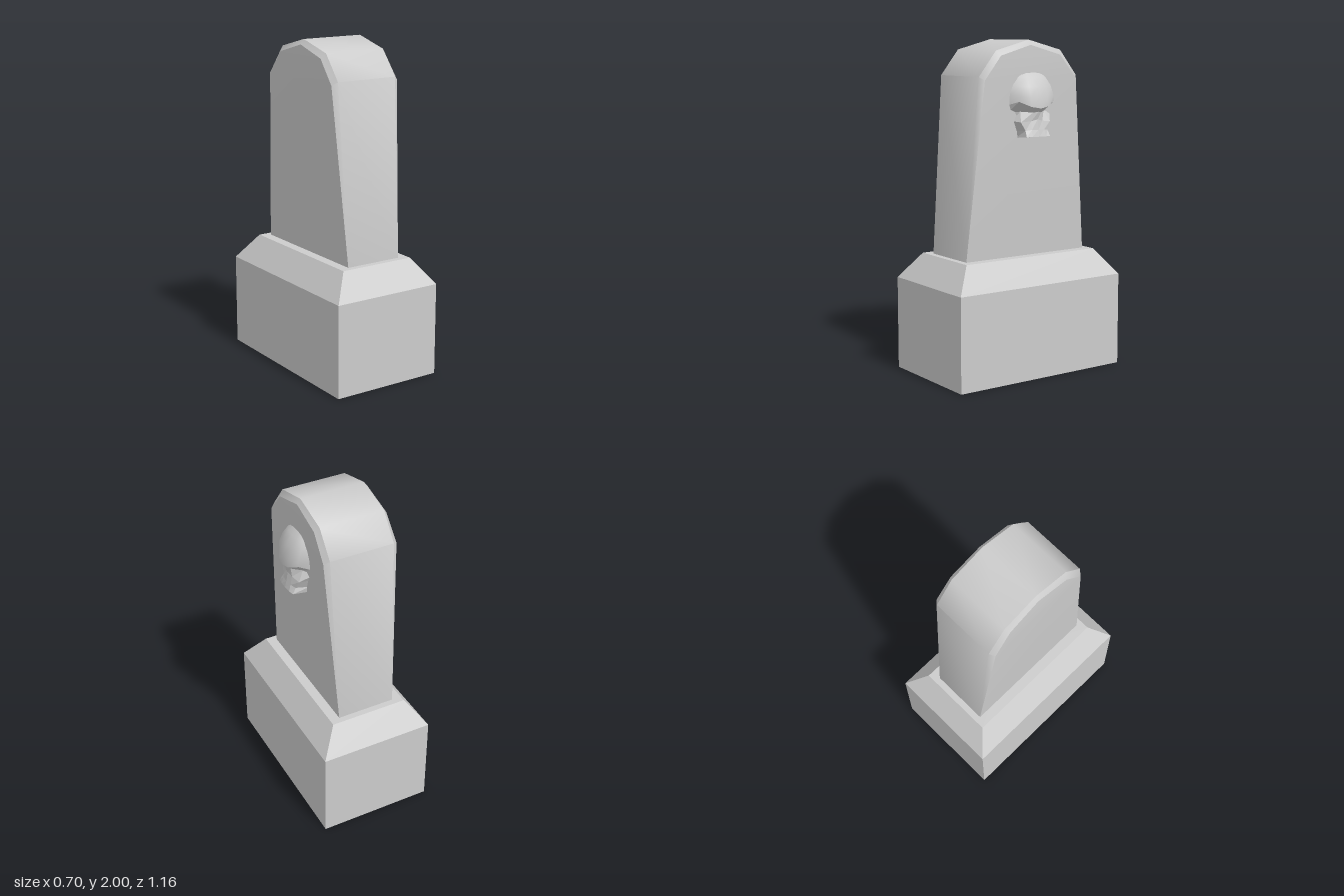
import * as THREE from 'three';
import { toCreasedNormals } from 'three/addons/utils/BufferGeometryUtils.js';

// Skin a grid of [x, y, z] points: rows run top to bottom, columns left to right
function skin(rows, crease) {
  const pos = [];
  const tri = (a, b, c) => {
    const [A, B, C] = [a, b, c].map((p) => new THREE.Vector3(...p));
    if (new THREE.Triangle(A, B, C).getArea() > 1e-7) pos.push(...a, ...b, ...c);
  };
  for (let r = 0; r < rows.length - 1; r++) {
    for (let c = 0; c < rows[r].length - 1; c++) {
      tri(rows[r][c], rows[r + 1][c], rows[r][c + 1]);
      tri(rows[r][c + 1], rows[r + 1][c], rows[r + 1][c + 1]);
    }
  }
  const g = new THREE.BufferGeometry();
  g.setAttribute('position', new THREE.Float32BufferAttribute(pos, 3));
  g.computeVertexNormals();
  return toCreasedNormals(g, crease);
}

export function createModel() {
  const model = new THREE.Group();
  const material = new THREE.MeshStandardMaterial({ color: 0xcccccc, side: THREE.DoubleSide });
  const add = (parent, name, geometry) => {
    const mesh = new THREE.Mesh(geometry, material);
    mesh.name = name;
    parent.add(mesh);
  };

  // Plinth: hollow block with a sloping shoulder, open underneath
  const ring = (x, z, y) => [[-x, y, z], [x, y, z], [x, y, -z], [-x, y, -z], [-x, y, z]];
  add(model, 'plinth', skin([
    ring(0, 0, 0.72), ring(0.24, 0.468, 0.72), ring(0.352, 0.582, 0.565), ring(0.352, 0.582, 0),
  ], 0.1));

  // Headstone: half profiles [x, y, z] from foot to crown, mirrored in z
  const rim = [[0.18, 0.72, 0.43], [0.2, 1.79, 0.352], [0.2, 1.94, 0.232], [0.2, 2, 0]];
  const face = [[0.18, 0.72, 0.43], [0.23, 1.77, 0.33], [0.226, 1.91, 0.215], [0.222, 1.97, 0]];
  const arch = (half, side) => [
    ...half.map(([x, y, z]) => [side * x, y, z]),
    ...half.slice(0, -1).reverse().map(([x, y, z]) => [side * x, y, -z]),
  ];
  const stone = new THREE.Group();
  stone.name = 'headstone';
  model.add(stone);
  add(stone, 'rim', skin([arch(face, -1), arch(rim, -1), arch(rim, 1), arch(face, 1)], 0.68));
  for (const side of [1, -1]) {
    const rows = face.map(([x, y, z]) => [[side * x, y, side * z], [side * x, y, -side * z]]).reverse();
    add(stone, side > 0 ? 'leftFace' : 'rightFace', skin(rows, 0.6));
  }

  // Skull relief: half rows [x, y, z] from the middle outwards, mirrored in z
  const brow = [[0.325, 1.605, 0], [0.315, 1.615, 0.06], [0.28, 1.645, 0.125], [0.2, 1.62, 0.167]];
  const cranium = [
    [[0.215, 1.82, 0], [0.215, 1.82, 0.03], [0.215, 1.815, 0.06], [0.2, 1.81, 0.08]],
    [[0.26, 1.785, 0], [0.255, 1.785, 0.05], [0.24, 1.785, 0.09], [0.2, 1.785, 0.12]],
    [[0.295, 1.73, 0], [0.285, 1.73, 0.06], [0.262, 1.735, 0.115], [0.2, 1.745, 0.15]],
    [[0.32, 1.665, 0], [0.31, 1.67, 0.06], [0.283, 1.675, 0.122], [0.2, 1.69, 0.168]],
    brow,
  ];
  const jaw = [
    brow,
    [[0.3, 1.585, 0], [0.285, 1.58, 0.03], [0.235, 1.585, 0.085], [0.2, 1.58, 0.152]],
    [[0.29, 1.54, 0], [0.282, 1.53, 0.04], [0.27, 1.525, 0.105], [0.2, 1.53, 0.125]],
    [[0.3, 1.48, 0], [0.295, 1.48, 0.045], [0.28, 1.475, 0.08], [0.2, 1.47, 0.1]],
    [[0.31, 1.44, 0], [0.308, 1.44, 0.05], [0.3, 1.44, 0.085], [0.2, 1.43, 0.092]],
    [[0.2, 1.43, 0], [0.2, 1.43, 0.05], [0.2, 1.43, 0.085], [0.2, 1.43, 0.092]],
  ];
  const mirror = (half) => [
    ...half.slice().reverse(),
    ...half.slice(1).map(([x, y, z]) => [x, y, -z]),
  ];
  const skull = new THREE.Group();
  skull.name = 'skullRelief';
  model.add(skull);
  add(skull, 'cranium', skin(cranium.map(mirror), 1.2));
  add(skull, 'eyesAndJaw', skin(jaw.map(mirror), 0.05));

  return model;
}
